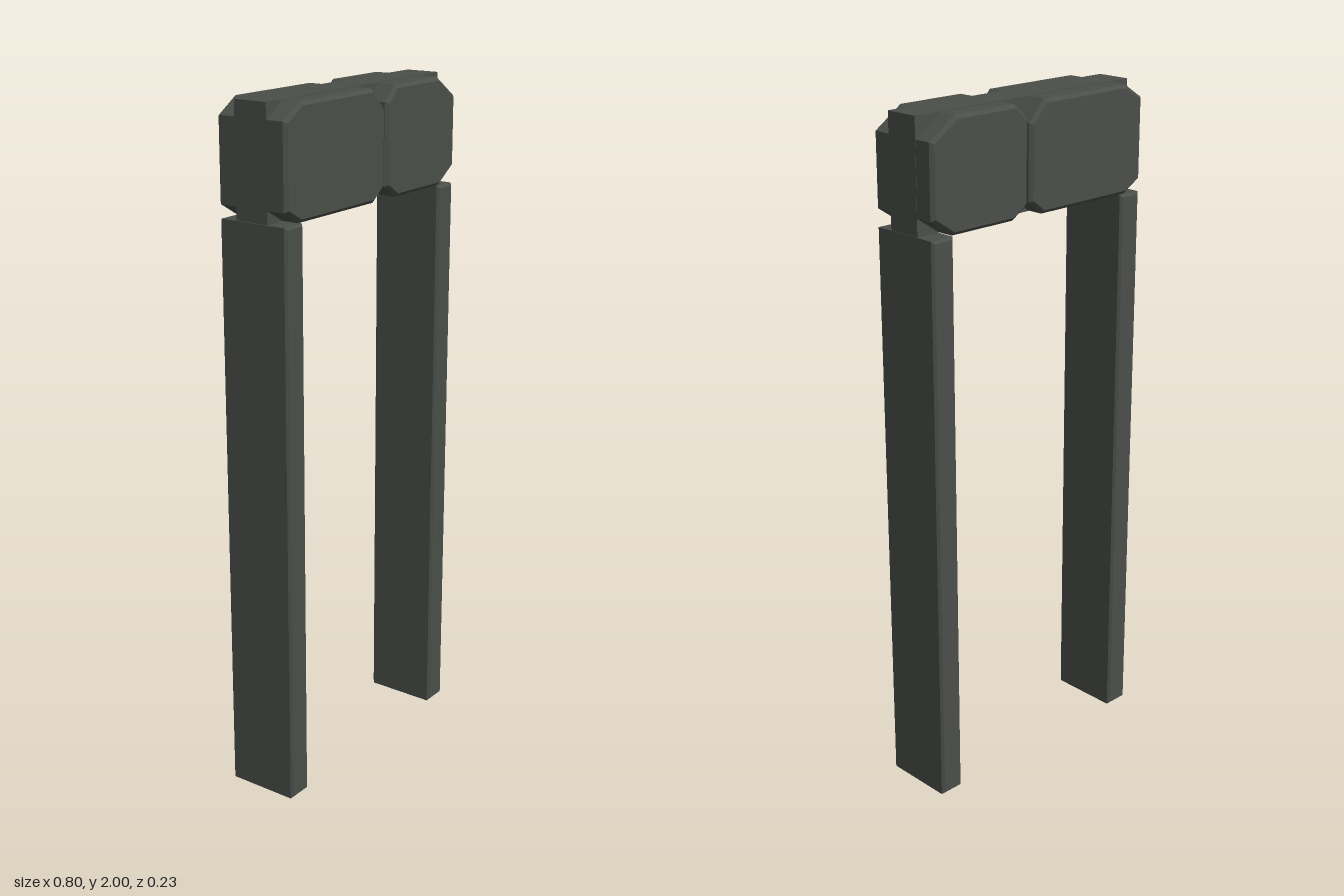
import * as THREE from 'three';

const stone = new THREE.MeshStandardMaterial({ color: 0x4a4e49 });
stone.name = 'darkStone';

// Extrudes an outline to the given depth, centred on z = 0, with chamfered edges
function chamferedBlock(name, points, depth, bevel) {
  const shape = new THREE.Shape(points.map(([x, y]) => new THREE.Vector2(x, y)));
  const geometry = new THREE.ExtrudeGeometry(shape, {
    depth: depth - 2 * bevel,
    bevelEnabled: true,
    bevelSize: bevel,
    bevelThickness: bevel,
    bevelOffset: -bevel,
    bevelSegments: 1,
  });
  geometry.translate(0, 0, bevel - depth / 2);
  const mesh = new THREE.Mesh(geometry, stone);
  mesh.name = name;
  return mesh;
}

export function createModel() {
  const group = new THREE.Group();
  group.name = 'stoneGateway';

  // Upright posts
  for (const [name, x0, x1] of [['rightPost', -0.4, -0.324], ['leftPost', 0.322, 0.397]]) {
    group.add(chamferedBlock(name, [[x0, 0], [x1, 0], [x1, 1.684], [x0, 1.684]], 0.222, 0.007));
  }

  // Plain core of the lintel
  const core = new THREE.Mesh(new THREE.BoxGeometry(0.798, 0.315, 0.104), stone);
  core.name = 'lintelCore';
  core.position.set(-0.001, 1.8425, -0.001);
  group.add(core);

  // Two cut-corner blocks standing proud of the core, front and back
  group.add(chamferedBlock('lintelBlockRight', [
    [-0.34, 1.687], [-0.005, 1.687], [0.044, 1.725], [0.044, 1.94],
    [-0.012, 1.998], [-0.332, 1.998], [-0.4, 1.955], [-0.4, 1.722],
  ], 0.228, 0.01));
  group.add(chamferedBlock('lintelBlockLeft', [
    [0.105, 1.687], [0.325, 1.687], [0.397, 1.735], [0.397, 1.94],
    [0.31, 1.998], [0.097, 1.998], [0.051, 1.955], [0.051, 1.722],
  ], 0.228, 0.01));

  return group;
}
